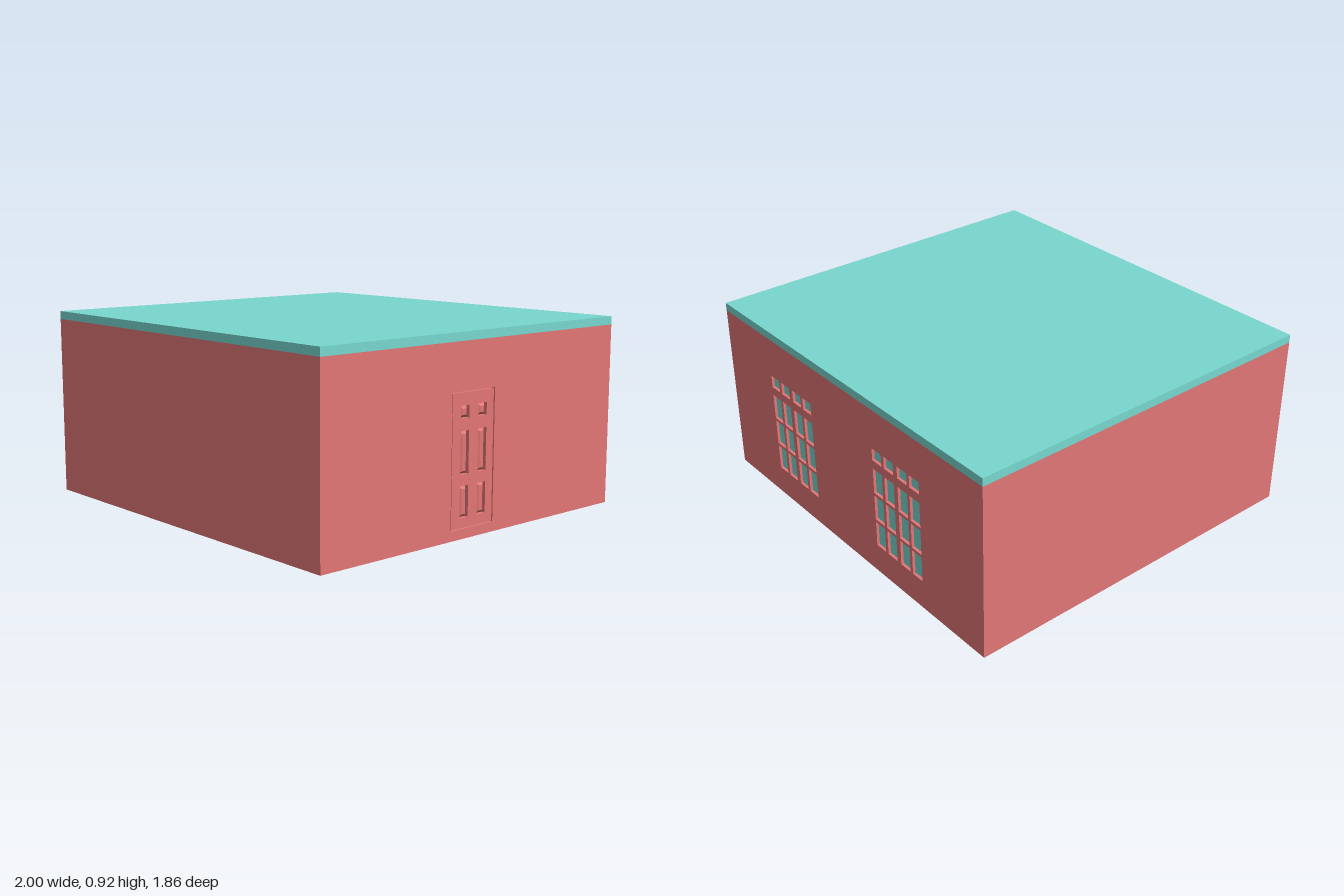
import * as THREE from 'three';

const RED = new THREE.MeshStandardMaterial({ color: 0xe27676, flatShading: true });
const TEAL = new THREE.MeshStandardMaterial({ color: 0x78d8cf, flatShading: true });

// Overall extents
const X0 = -1, X1 = 0.995, Z = 0.93, WALL = 0.88, TOP = 0.92, T = 0.03;

function rect(Type, u0, u1, y0, y1) {
  return new Type([[u0, y0], [u1, y0], [u1, y1], [u0, y1]].map(([u, y]) => new THREE.Vector2(u, y)));
}

function extrude(name, outline, holes, depth, bevel) {
  const shape = rect(THREE.Shape, ...outline);
  shape.holes = holes.map(h => rect(THREE.Path, ...h));
  const geo = new THREE.ExtrudeGeometry(shape, { depth, bevelEnabled: false, ...bevel });
  const mesh = new THREE.Mesh(geo, RED);
  mesh.name = name;
  return mesh;
}

function box(name, material, x0, x1, y0, y1, z0, z1) {
  const mesh = new THREE.Mesh(new THREE.BoxGeometry(x1 - x0, y1 - y0, z1 - z0), material);
  mesh.position.set((x0 + x1) / 2, (y0 + y1) / 2, (z0 + z1) / 2);
  mesh.name = name;
  return mesh;
}

// Pane openings [u0, u1, y0, y1] of one window centred on u
function windowPanes(u) {
  const columns = [-0.172, -0.084, 0.014, 0.102];
  const rows = [[0.15, 0.28], [0.295, 0.425], [0.44, 0.57], [0.615, 0.677]];
  return columns.flatMap(c => rows.map(([a, b]) => [u + c, u + c + 0.07, a, b]));
}

// Wall with two windows, built facing +z and turned to the back
function buildBackWall() {
  const wall = new THREE.Group();
  wall.name = 'backWall';
  const panes = [-0.437, 0.4].flatMap(windowPanes);
  wall.add(extrude('windowWall', [-X1, -X0, 0, WALL], panes, T));
  for (const [u0, u1, y0, y1] of panes) {
    wall.add(box('windowPane', TEAL, u0, u1, y0, y1, 0, T - 0.014));
  }
  wall.rotation.y = Math.PI;
  wall.position.z = -Z + T;
  return wall;
}

// Wall with a panelled door, built facing +z and turned to the right
function buildDoorWall() {
  const wall = new THREE.Group();
  wall.name = 'doorWall';
  const opening = [-0.178, 0.095, 0.045, 0.66];
  wall.add(extrude('wallAroundDoor', [-Z, Z - T, 0, WALL], [opening], T));

  const panels = [[-0.12, -0.067], [-0.008, 0.045]].flatMap(([a, b]) =>
    [[0.095, 0.24], [0.29, 0.485], [0.54, 0.597]].map(([c, d]) => [a, b, c, d]));
  const [a, b, c, d] = opening;
  const gap = 0.005;
  wall.add(extrude('doorLeaf', [a + gap, b - gap, c + gap, d - gap], panels, T - 0.002));

  // Bevelled field inside every door panel
  const inset = 0.015;
  for (const [u0, u1, y0, y1] of panels) {
    wall.add(extrude('doorPanel', [u0 + inset, u1 - inset, y0 + inset, y1 - inset], [], T - 0.018, {
      bevelEnabled: true, bevelThickness: 0.013, bevelSize: 0.013, bevelSegments: 1,
    }));
  }

  // Lever handle
  wall.add(box('doorHandle', RED, 0.038, 0.072, 0.322, 0.332, T + 0.001, T + 0.005));
  wall.add(box('handleStem', RED, 0.046, 0.056, 0.322, 0.332, T - 0.01, T + 0.002));
  wall.rotation.y = Math.PI / 2;
  wall.position.x = X1 - T;
  return wall;
}

export function createModel() {
  const house = new THREE.Group();
  house.name = 'house';
  house.add(box('houseBody', RED, X0, X1 - T, 0, WALL, -Z + T, Z));
  house.add(buildBackWall(), buildDoorWall());
  house.add(box('flatRoof', TEAL, X0, X1, WALL, TOP, -Z, Z));
  return house;
}
